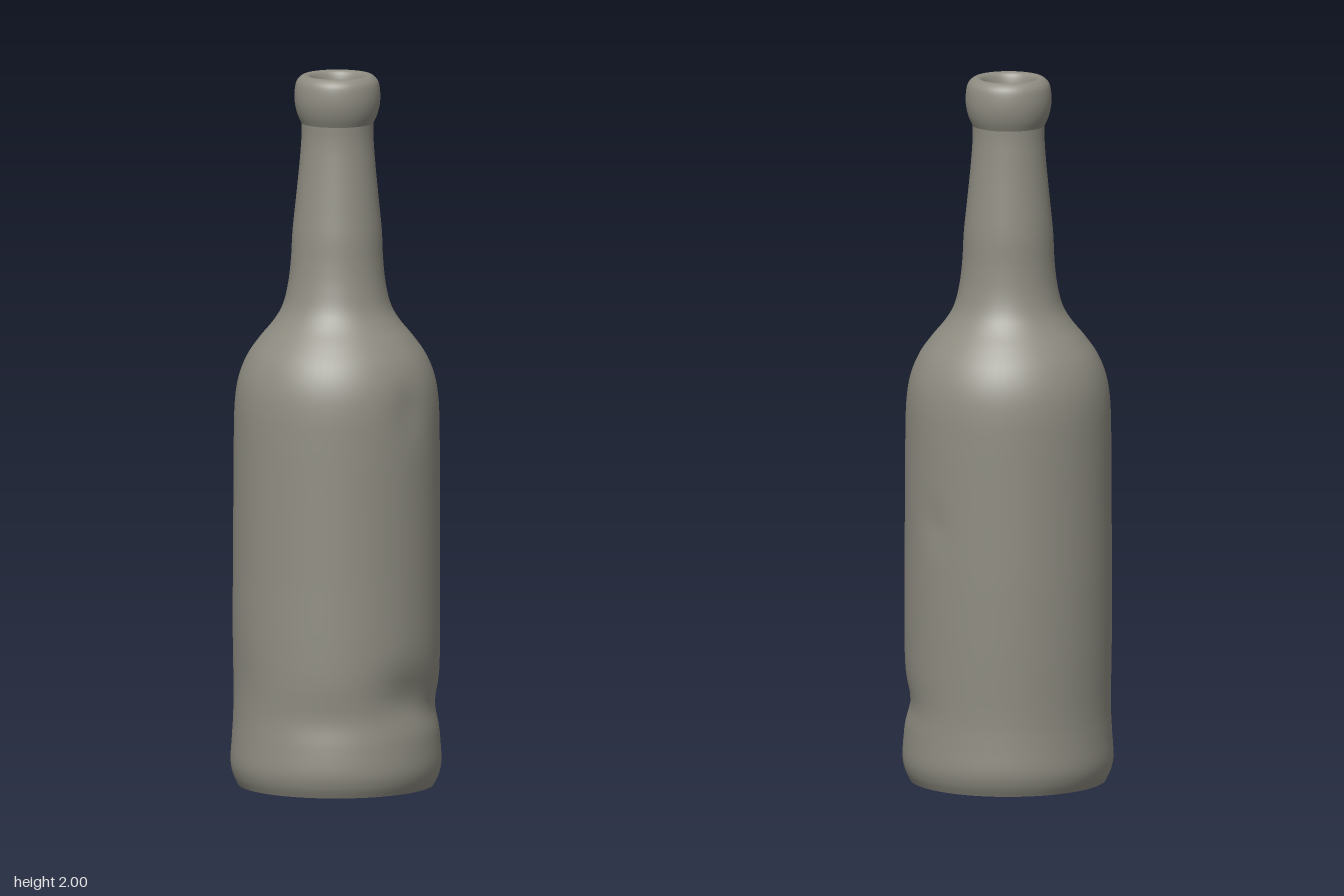
import * as THREE from 'three';
import { mergeVertices } from 'three/addons/utils/BufferGeometryUtils.js';

const glass = new THREE.MeshStandardMaterial({ color: 0x8f8d82 });
glass.name = 'grey glass';

// Height and z offset of the slightly bent centre line
const BEND = [[0, 0.006], [0.25, 0.002], [0.6, -0.006], [1.0, -0.01], [1.4, -0.013], [1.6, -0.02], [1.8, -0.024], [2, -0.022]];

// Dents: angle from the front towards +x, height, angular width, height width, depth
const DENTS = [
  [0.95, 0.27, 0.4, 0.07, 0.022],
  [1.55, 0.23, 0.5, 0.05, 0.014],
  [0.1, 0.22, 0.6, 0.06, 0.008],
  [0.95, 1.08, 0.2, 0.08, 0.01],
  [2.3, 0.76, 0.15, 0.05, 0.006],
  [-1.0, 0.3, 0.4, 0.1, 0.005],
];

function bendAt(y) {
  let i = 0;
  while (i < BEND.length - 2 && y > BEND[i + 1][0]) i++;
  const [y0, z0] = BEND[i], [y1, z1] = BEND[i + 1];
  return THREE.MathUtils.lerp(z0, z1, (y - y0) / (y1 - y0));
}

// Revolves a profile, then dents and bends it
function turned(name, points, dented) {
  let geo = new THREE.LatheGeometry(points, 64);
  geo.deleteAttribute('uv');
  geo.deleteAttribute('normal');
  const pos = geo.attributes.position;
  for (let i = 0; i < pos.count; i++) {
    let x = pos.getX(i), z = pos.getZ(i);
    const y = pos.getY(i), r = Math.hypot(x, z), angle = Math.atan2(x, z);
    if (dented && r > 0.01) {
      let push = 0;
      for (const [a, h, wa, wh, depth] of DENTS) {
        const d = Math.atan2(Math.sin(angle - a), Math.cos(angle - a));
        push += depth * Math.exp(-((d / wa) ** 2) - ((y - h) / wh) ** 2);
      }
      x *= (r - push) / r;
      z *= (r - push) / r;
    }
    pos.setXYZ(i, x, y, z + bendAt(y));
  }
  geo = mergeVertices(geo, 1e-5);
  geo.computeVertexNormals();
  const mesh = new THREE.Mesh(geo, glass);
  mesh.name = name;
  return mesh;
}

const vectors = (list) => list.map(([r, y]) => new THREE.Vector2(r, y));

export function createModel() {
  const group = new THREE.Group();
  group.name = 'bottle';

  // Flat underside
  group.add(turned('base', vectors([[0, 0.003], [0.262, 0.003], [0.274, 0]]), false));

  // Foot, body, shoulder and neck
  const outline = new THREE.SplineCurve(vectors([
    [0.274, 0], [0.288, 0.03], [0.295, 0.07], [0.291, 0.14], [0.288, 0.22], [0.29, 0.4], [0.29, 0.6],
    [0.289, 0.8], [0.288, 0.98], [0.285, 1.08], [0.274, 1.15], [0.25, 1.21], [0.215, 1.26],
    [0.178, 1.305], [0.152, 1.35], [0.137, 1.41], [0.129, 1.48], [0.125, 1.56], [0.116, 1.65],
    [0.107, 1.74], [0.101, 1.82], [0.101, 1.865],
  ]));
  group.add(turned('body', outline.getPoints(110), true));

  // Rounded lip with the mouth inside
  const lip = new THREE.SplineCurve(vectors([
    [0.101, 1.865], [0.112, 1.89], [0.119, 1.92], [0.12, 1.95], [0.115, 1.98], [0.102, 1.996],
    [0.09, 2], [0.077, 1.995], [0.069, 1.975], [0.064, 1.94], [0.061, 1.9],
  ]));
  group.add(turned('lip', lip.getPoints(40), false));
  group.add(turned('mouth', vectors([[0.061, 1.9], [0.058, 1.87], [0.045, 1.855], [0, 1.85]]), false));

  return group;
}
